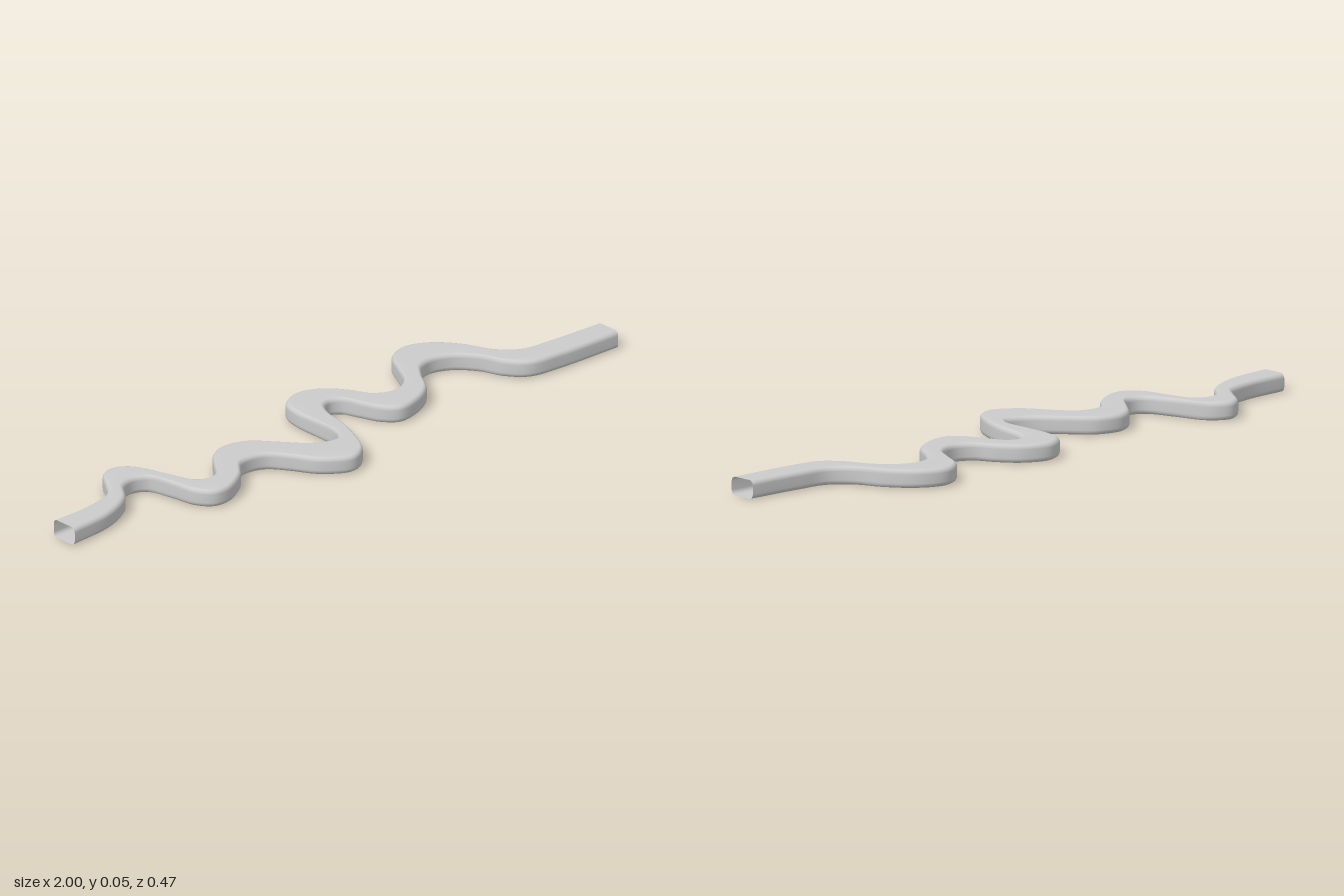
import * as THREE from 'three';

const HEIGHT = 0.053, RADIUS = 0.014, STATIONS = 240, CORNER_STEPS = 4;

// Paired x, z points along the two banks of the winding channel
const BACK_EDGE = [
  -1, 0, -0.87, -0.01, -0.77, -0.04, -0.73, -0.09, -0.69, -0.145, -0.65, -0.16, -0.6, -0.13,
  -0.56, -0.03, -0.53, 0.045, -0.5, 0.065, -0.46, 0.06, -0.42, 0.01, -0.37, -0.048,
  -0.32, -0.067, -0.25, -0.05, -0.19, 0.01, -0.13, 0.075, -0.085, 0.1, -0.045, 0.1,
  -0.022, 0.06, -0.02, -0.03, -0.02, -0.1, 0, -0.165, 0.065, -0.2, 0.14, -0.175,
  0.19, -0.12, 0.22, -0.065, 0.26, -0.04, 0.3, -0.04, 0.35, -0.07, 0.39, -0.14,
  0.43, -0.21, 0.495, -0.238, 0.57, -0.21, 0.63, -0.14, 0.67, -0.06, 0.73, -0.01,
  0.83, 0, 1, 0.003,
];
const FRONT_EDGE = [
  -1, 0.087, -0.85, 0.065, -0.75, 0.015, -0.7, -0.045, -0.67, -0.06, -0.64, -0.06, -0.608, -0.04,
  -0.59, 0.03, -0.575, 0.11, -0.54, 0.15, -0.49, 0.153, -0.41, 0.11, -0.355, 0.053,
  -0.31, 0.045, -0.265, 0.06, -0.225, 0.11, -0.18, 0.18, -0.1, 0.228, -0.045, 0.205,
  0, 0.13, 0.03, 0.05, 0.05, -0.04, 0.075, -0.085, 0.105, -0.097, 0.135, -0.08,
  0.155, -0.03, 0.18, 0.03, 0.22, 0.065, 0.28, 0.058, 0.36, 0.015, 0.41, -0.06,
  0.45, -0.105, 0.5, -0.12, 0.56, -0.1, 0.61, -0.045, 0.64, 0.025, 0.69, 0.075,
  0.8, 0.088, 1, 0.088,
];

function edgeCurve(flat) {
  const pts = [];
  for (let i = 0; i < flat.length; i += 2) pts.push(new THREE.Vector3(flat[i], 0, flat[i + 1]));
  return new THREE.CatmullRomCurve3(pts, false, 'centripetal');
}

// Rounded-rectangle loop: [sideways offset, height] for a given width
function section(width) {
  const loop = [];
  for (let c = 0; c < 4; c++) {
    const cx = c < 2 ? width - RADIUS : RADIUS;
    const cy = c === 0 || c === 3 ? HEIGHT - RADIUS : RADIUS;
    for (let s = 0; s <= CORNER_STEPS; s++) {
      const a = (Math.PI / 2) * (1 - c - s / CORNER_STEPS);
      loop.push([cx + RADIUS * Math.cos(a), cy + RADIUS * Math.sin(a)]);
    }
  }
  return loop;
}

function channelGeometry() {
  const back = edgeCurve(BACK_EDGE), front = edgeCurve(FRONT_EDGE);
  const pos = [], index = [], n = 4 * (CORNER_STEPS + 1);
  for (let i = 0; i <= STATIONS; i++) {
    const b = back.getPoint(i / STATIONS), f = front.getPoint(i / STATIONS);
    const across = f.clone().sub(b), width = across.length();
    across.normalize();
    for (const [d, y] of section(width)) pos.push(b.x + across.x * d, y, b.z + across.z * d);
    if (i === STATIONS) break;
    for (let j = 0; j < n; j++) {
      const p = i * n + j, q = i * n + ((j + 1) % n);
      index.push(p, q, p + n, q, q + n, p + n);
    }
  }
  const geo = new THREE.BufferGeometry();
  geo.setAttribute('position', new THREE.Float32BufferAttribute(pos, 3));
  geo.setIndex(index);
  geo.computeVertexNormals();
  return geo;
}

export function createModel() {
  const group = new THREE.Group();
  group.name = 'windingChannel';
  // Hollow tube, open at both ends
  const material = new THREE.MeshStandardMaterial({ color: 0xcccccc, side: THREE.DoubleSide });
  const tube = new THREE.Mesh(channelGeometry(), material);
  tube.name = 'windingTube';
  group.add(tube);
  return group;
}
